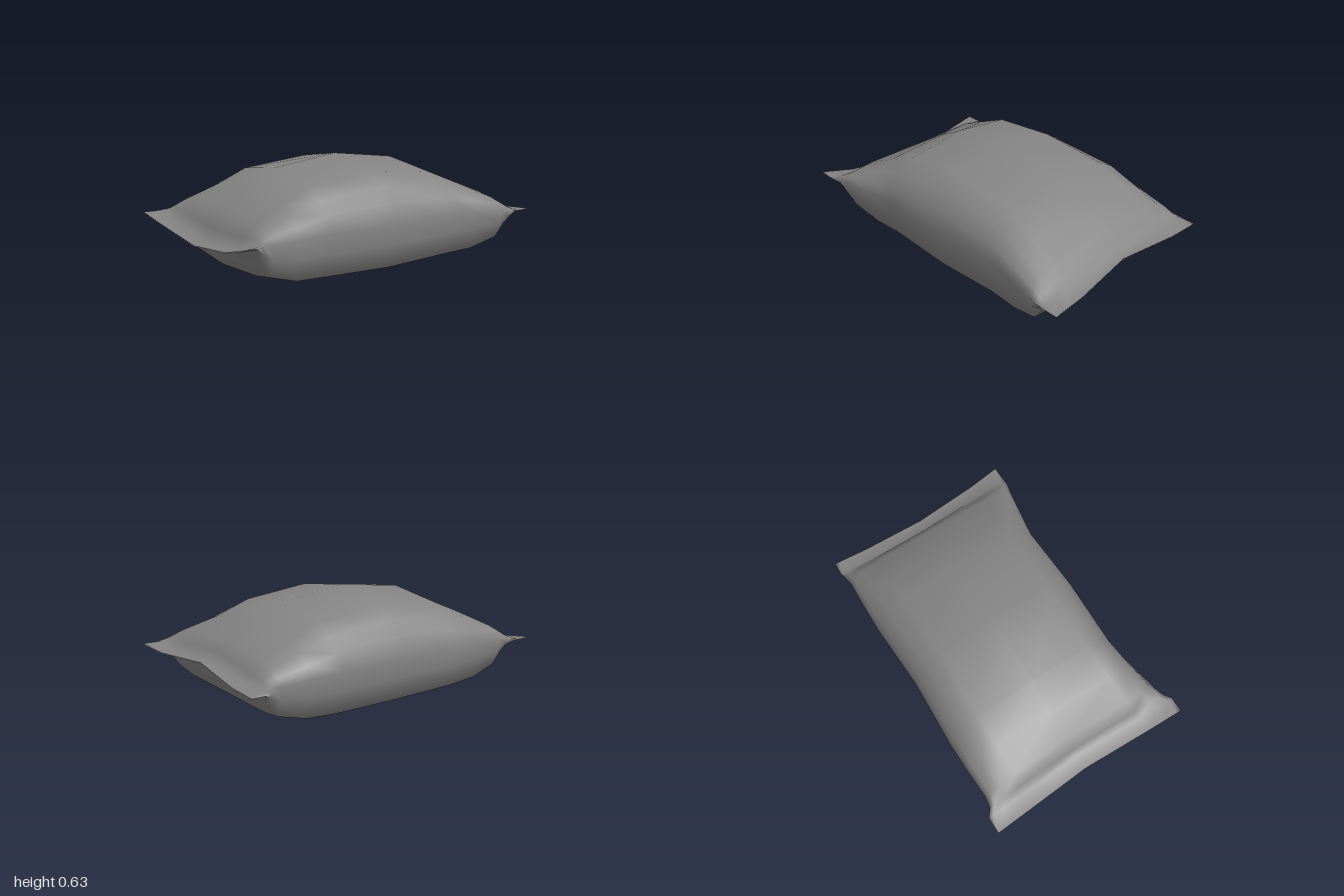
import * as THREE from 'three';

const material = new THREE.MeshStandardMaterial({ color: 0x858585, side: THREE.DoubleSide });

// Cross-section loop: [share of half depth, share of height above or below the seam]
const upper = [[1, 0], [0.95, 0.34], [0.84, 0.62], [0.66, 0.83], [0, 1]];
const lower = [[0, -1], [0.66, -0.93], [0.91, -0.86], [0.97, -0.4]];
const flip = ([n, h]) => [-n, h];
const profile = [
  ...upper, ...upper.slice(0, 4).reverse().map(flip),
  ...lower.slice(1).reverse().map(flip), ...lower,
];

// Stations along x: [x, front depth, back depth, height above seam, depth below seam, pull toward the seal]
const half = [
  [0, 0.55, 0.59, 0.335, 0.297, 0],
  [0.42, 0.54, 0.608, 0.28, 0.284, 0],
  [0.61, 0.568, 0.605, 0.188, 0.265, 0.1],
  [0.778, 0.598, 0.597, 0.113, 0.2, 0.35],
  [0.833, 0.615, 0.608, 0.05, 0.09, 0.7],
];

// Piecewise linear height of each wavy seal, from back (-1) to front (1)
const stops = [-1, -0.66, 0, 0.66, 1];
const waves = { '-1': [0.28, 0.25, 0.2, 0.26, 0.32], '1': [0.265, 0.26, 0.295, 0.27, 0.285] };
function sealY(side, n) {
  let k = 0;
  while (k < 3 && n > stops[k + 1]) k++;
  const t = (n - stops[k]) / (stops[k + 1] - stops[k]);
  return THREE.MathUtils.lerp(waves[side][k], waves[side][k + 1], t);
}

// Thin pressed seal; its edges bow inward at the middle
function sealRow(side, mid, frontReach, backReach, thickness) {
  const depth = side < 0 ? 0.643 : 0.615;
  return profile.map(([n, h]) => {
    const reach = n > 0 ? frontReach : backReach;
    return new THREE.Vector3(
      side * (mid + reach * Math.abs(n)),
      sealY(side, n) + Math.sign(h) * thickness / 2,
      n * depth);
  });
}

// Puffed cross-section whose seam bends toward the seal
function bodyRow(side, [x, front, back, up, down, pull]) {
  return profile.map(([n, h]) => {
    const seam = THREE.MathUtils.lerp(0.3, sealY(side, n), pull);
    const crest = 0.045 * (1 - pull) * (1 - Math.abs(n)) ** 2;
    return new THREE.Vector3(
      side * (x + 0.03 * pull * Math.abs(n)),
      seam + h * (h > 0 ? up : down),
      n * (n > 0 ? front : back) - crest);
  });
}

// Skin closed rows of points into one smooth surface
function skin(rows) {
  const width = rows[0].length, index = [];
  for (let i = 0; i < rows.length - 1; i++) {
    for (let j = 0; j < width; j++) {
      const k = (j + 1) % width;
      const a = i * width + j, b = a + width, c = i * width + k, d = c + width;
      index.push(a, b, c, b, d, c);
    }
  }
  const geometry = new THREE.BufferGeometry().setFromPoints(rows.flat());
  geometry.setIndex(index);
  geometry.computeVertexNormals();
  return geometry;
}

export function createModel() {
  const model = new THREE.Group();
  model.name = 'pillowBag';

  // One skin from seal to seal: outer edge, inner edge, puffed body, and back
  const bag = new THREE.Mesh(skin([
    sealRow(-1, 0.955, 0.035, 0.045, 0.004),
    sealRow(-1, 0.865, 0.035, 0.035, 0.012),
    ...half.slice(1).reverse().map((s) => bodyRow(-1, s)),
    ...half.map((s) => bodyRow(1, s)),
    sealRow(1, 0.86, 0.045, 0.03, 0.012),
    sealRow(1, 0.93, 0.07, 0.045, 0.004),
  ]), material);
  bag.name = 'sealedBag';
  model.add(bag);
  return model;
}
